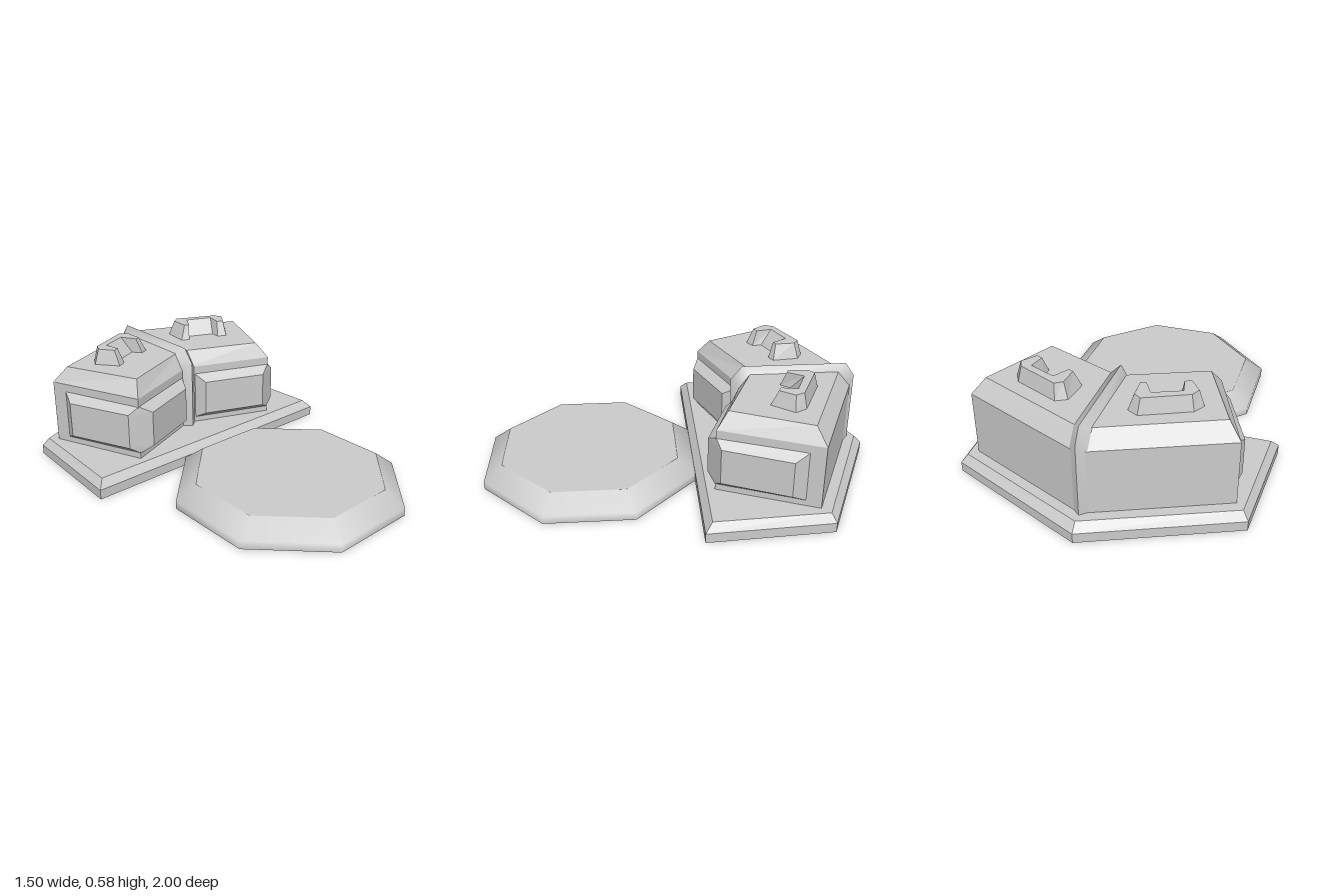
import * as THREE from 'three';
import { toCreasedNormals } from 'three/addons/utils/BufferGeometryUtils.js';

const flat = new THREE.MeshStandardMaterial({ color: 0xcccccc, flatShading: true, side: THREE.DoubleSide });
const smooth = new THREE.MeshStandardMaterial({ color: 0xcccccc, side: THREE.DoubleSide });

const cross = (a, b, c) => (b[0] - a[0]) * (c[1] - a[1]) - (b[1] - a[1]) * (c[0] - a[0]);

// Joins closed plan outlines [x, z] stacked at rising heights, with an optional top cap.
function loft(heights, outlines, cap = true) {
  const area = outlines[0].reduce((s, p, i, r) => s + cross([0, 0], p, r[(i + 1) % r.length]), 0);
  const rings = area > 0 ? outlines.map((r) => [...r].reverse()) : outlines;
  const pos = [];
  const tri = (...pts) => pts.forEach(([p, y]) => pos.push(p[0], y, p[1]));
  for (let k = 0; k < rings.length - 1; k++) {
    const lo = rings[k], hi = rings[k + 1], y0 = heights[k], y1 = heights[k + 1];
    lo.forEach((a, i) => {
      const j = (i + 1) % lo.length;
      if (a !== lo[j]) tri([a, y0], [lo[j], y0], [hi[j], y1]);
      if (hi[i] !== hi[j]) tri([a, y0], [hi[j], y1], [hi[i], y1]);
    });
  }
  if (cap) {
    const top = rings.at(-1), y = heights.at(-1);
    for (const f of THREE.ShapeUtils.triangulateShape(top.map((p) => new THREE.Vector2(...p)), [])) {
      const [a, b, c] = f.map((i) => top[i]);
      if (cross(a, b, c) < 0) tri([a, y], [b, y], [c, y]);
      else tri([a, y], [c, y], [b, y]);
    }
  }
  const geo = new THREE.BufferGeometry();
  geo.setAttribute('position', new THREE.Float32BufferAttribute(pos, 3));
  geo.computeVertexNormals();
  return geo;
}

function part(parent, name, geo, mat = flat) {
  const mesh = new THREE.Mesh(geo, mat);
  mesh.name = name;
  parent.add(mesh);
  return mesh;
}

// One half of the building; side is +1 or -1.
function makeWing(side) {
  const wing = new THREE.Group();
  wing.name = side > 0 ? 'leftWing' : 'rightWing';
  const m = (pts) => pts.map(([x, z]) => [x * side, z]);

  // Walls with a sloped roof edge
  const wall = m([[0, -0.322], [0.45, -0.145], [0.645, -0.625], [0, -0.905]]);
  const roof = m([[0, -0.38], [0.41, -0.205], [0.58, -0.585], [0, -0.84]]);
  part(wing, 'wingBody', loft([0.09, 0.42, 0.5], [wall, wall, roof]));

  // Bevelled panel wrapping the front corner
  const [p0, corner, p1] = m([[0.045, -0.302], [0.447, -0.145], [0.617, -0.555]]);
  const [q0, q1, q2, q3] = m([[0.07, -0.24], [0.385, -0.115], [0.5, -0.165], [0.638, -0.485]]);
  const edge = [p0, p0, corner, corner, p1, p1];
  const face = [p0, q0, q1, q2, q3, p1];
  part(wing, 'wallPanel', loft([0.12, 0.155, 0.34, 0.378], [edge, face, face, edge], false));

  // U-shaped roof vent, open to the front
  const foot = m([[0.125, -0.515], [0.14, -0.648], [0.193, -0.677], [0.42, -0.573], [0.453, -0.515],
    [0.37, -0.41], [0.325, -0.435], [0.33, -0.485], [0.2, -0.54], [0.165, -0.495]]);
  const top = m([[0.16, -0.53], [0.165, -0.63], [0.2, -0.655], [0.405, -0.56], [0.427, -0.515],
    [0.375, -0.445], [0.345, -0.46], [0.362, -0.54], [0.23, -0.597], [0.185, -0.52]]);
  part(wing, 'roofVent', loft([0.5, 0.578], [foot, top]));
  return wing;
}

export function createModel() {
  const model = new THREE.Group();
  model.name = 'building';

  // Five-sided plinth, hollow underneath
  const mirrored = (pts, tip) => [...pts, [0, tip], ...pts.map(([x, z]) => [-x, z]).reverse()];
  const rim = mirrored([[0.748, -0.07], [0.712, -0.688]], -1);
  const deck = mirrored([[0.712, -0.105], [0.683, -0.665]], -0.96);
  part(model, 'plinth', loft([0, 0.05, 0.09], [rim, rim, deck]));

  for (const side of [1, -1]) model.add(makeWing(side));

  // Peaked rib running up the front, over the roof and down the back ([-y, z] outlines across x)
  const crest = [[-0.09, -0.272], [-0.46, -0.272], [-0.53, -0.33], [-0.53, -0.87], [-0.46, -0.918], [-0.09, -0.918]];
  const seam = [[-0.09, -0.31], [-0.42, -0.31], [-0.495, -0.365], [-0.495, -0.82], [-0.42, -0.88], [-0.09, -0.88]];
  const rib = loft([-0.045, 0, 0.045], [seam, crest, seam], false);
  rib.rotateZ(-Math.PI / 2);
  part(model, 'centreRib', toCreasedNormals(rib, 1.25), smooth);

  // Octagonal pad with a sloped smooth rim, hollow underneath
  const pad = new THREE.Group();
  pad.name = 'pad';
  pad.position.set(0.01, 0, 0.4625);
  const k = Math.cos(Math.PI / 8), outer = 0.5375 / k, inner = 0.445 / k;
  const profile = [[outer, 0], [outer, 0.042], [inner, 0.115]].map((p) => new THREE.Vector2(...p));
  part(pad, 'padRim', new THREE.LatheGeometry(profile, 8, Math.PI / 8), smooth);
  const padTop = new THREE.CircleGeometry(inner, 8, Math.PI / 8);
  padTop.rotateX(-Math.PI / 2).translate(0, 0.115, 0);
  part(pad, 'padTop', padTop);
  model.add(pad);

  return model;
}
